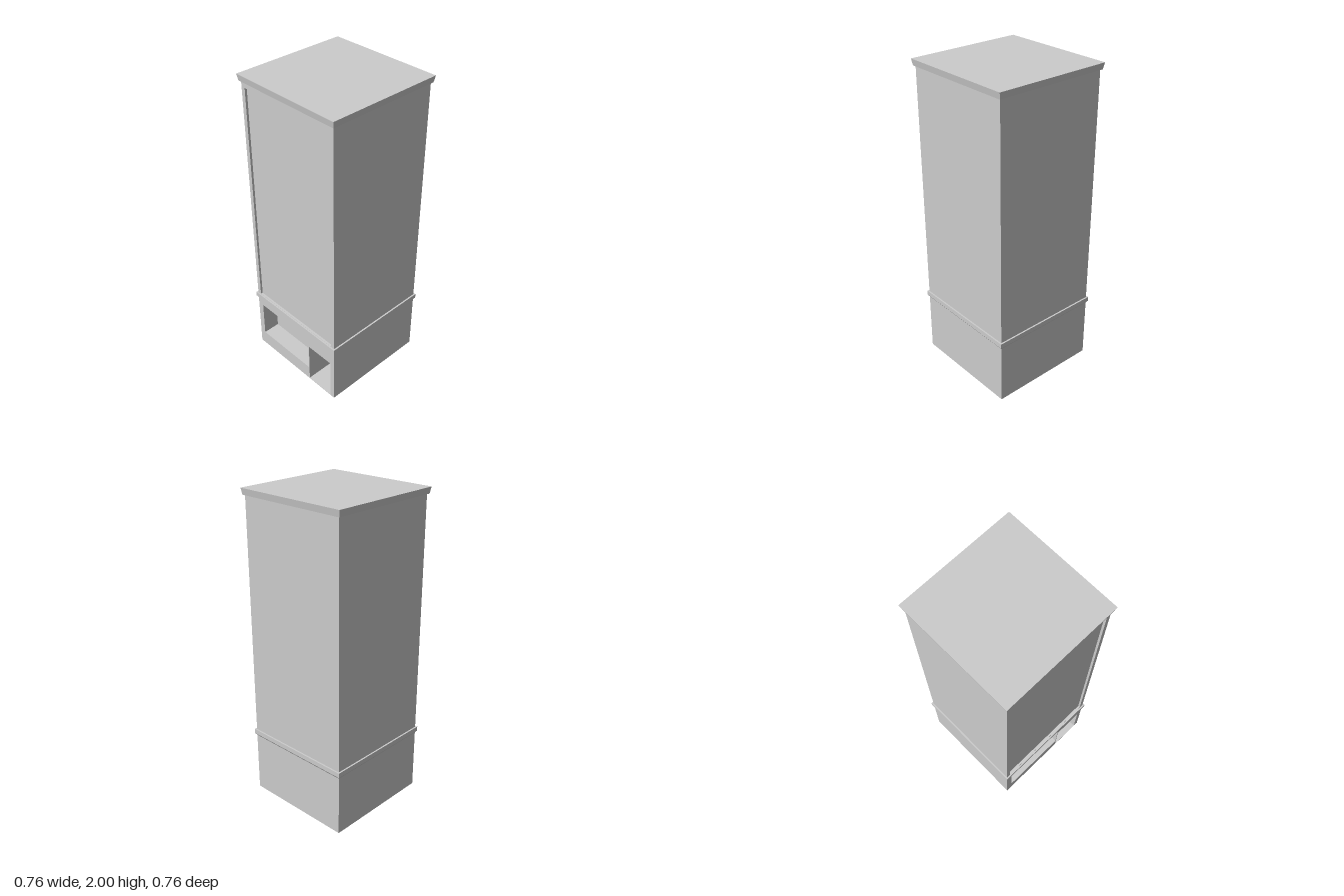
import * as THREE from 'three';

const HALF = 0.363; // half width of the square tower
const material = new THREE.MeshStandardMaterial({ color: 0xcccccc, flatShading: true });

function rectangle(PathType, [x0, x1, y0, y1]) {
  const path = new PathType();
  path.moveTo(x0, y0);
  path.lineTo(x1, y0);
  path.lineTo(x1, y1);
  path.lineTo(x0, y1);
  path.closePath();
  return path;
}

export function createModel() {
  const group = new THREE.Group();
  const add = (name, geometry) => {
    const mesh = new THREE.Mesh(geometry, material);
    mesh.name = name;
    group.add(mesh);
  };

  // Upright layer from z0 to z1 with rectangular openings cut through it
  const layer = (name, y0, y1, z0, z1, openings = []) => {
    const shape = rectangle(THREE.Shape, [-HALF, HALF, y0, y1]);
    shape.holes = openings.map((o) => rectangle(THREE.Path, o));
    const geometry = new THREE.ExtrudeGeometry(shape, { depth: z1 - z0, bevelEnabled: false });
    add(name, geometry.translate(0, 0, z0));
  };

  // Square slab whose half width changes from bottom to top
  const taperedSlab = (name, bottom, top, y0, y1) => {
    const geometry = new THREE.CylinderGeometry(top * Math.SQRT2, bottom * Math.SQRT2, y1 - y0, 4);
    add(name, geometry.rotateY(Math.PI / 4).translate(0, (y0 + y1) / 2, 0));
  };

  // Ground floor: shallow shop window and deeper doorway
  const shopWindow = [-0.322, 0.127, 0.1, 0.35];
  const doorway = [0.132, 0.33, 0.004, 0.29];
  layer('groundFloorFront', 0, 0.41, 0.25, HALF, [shopWindow, doorway]);
  layer('groundFloorMiddle', 0, 0.41, 0.15, 0.25, [doorway]);
  layer('groundFloorBack', 0, 0.41, -HALF, 0.15);

  // Upper storeys with a slightly sunken front panel
  const panelFace = HALF - 0.014;
  layer('upperBody', 0.41, 1.97, -HALF, panelFace);
  layer('frontFrame', 0.41, 1.97, panelFace, HALF, [[-0.336, 0.336, 0.442, 1.925]]);

  // Ledge between the storeys, chamfered underneath
  taperedSlab('ledgeChamfer', 0.364, 0.373, 0.397, 0.41);
  taperedSlab('ledge', 0.373, 0.373, 0.41, 0.44);

  // Roof cornice flaring outward
  taperedSlab('cornice', 0.373, 0.38, 1.96, 2);

  return group;
}
